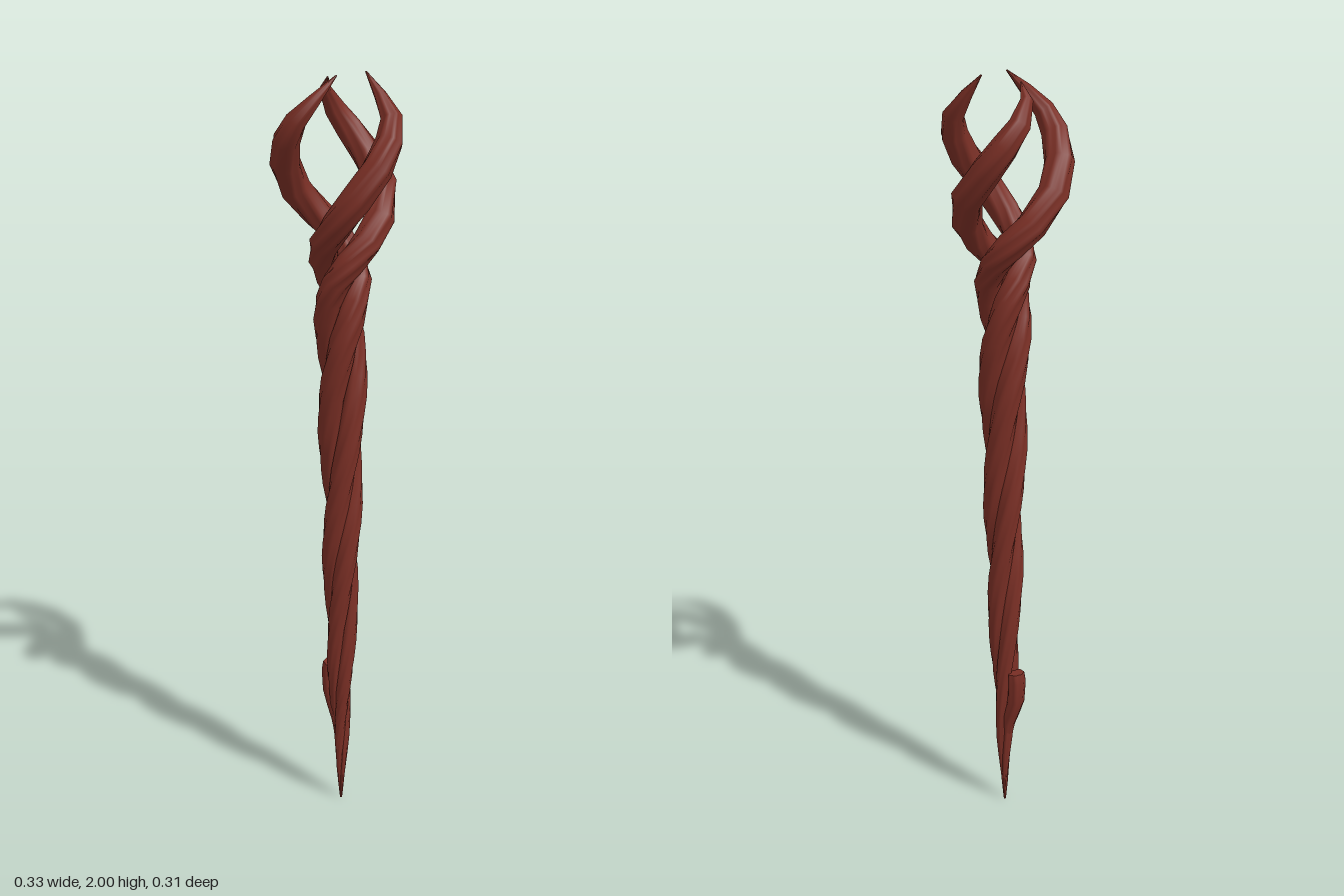
import * as THREE from 'three';

const bark = new THREE.MeshStandardMaterial({ color: 0x7a2f25, side: THREE.DoubleSide });

// Strand profile going up: [height, twist in degrees, distance from axis, strand radius]
const PROFILE = [
  [0, -610, 0.001, 0.002],
  [0.2, -550, 0.010, 0.013],
  [0.4, -488, 0.017, 0.020],
  [0.7, -390, 0.023, 0.027],
  [1.03, -272, 0.027, 0.031],
  [1.23, -204, 0.031, 0.034],
  [1.36, -150, 0.034, 0.035],
  [1.45, -103, 0.036, 0.035],
  [1.5, -68, 0.039, 0.035],
  [1.55, -20, 0.046, 0.035],
  [1.6, 24, 0.066, 0.036],
  [1.65, 56, 0.090, 0.037],
  [1.72, 84, 0.120, 0.038],
  [1.79, 109, 0.132, 0.037],
  [1.85, 128, 0.138, 0.033],
  [1.9, 143, 0.130, 0.026],
  [1.95, 158, 0.098, 0.015]
];

function sampleProfile(y) {
  let i = 1;
  while (i < PROFILE.length - 1 && PROFILE[i][0] < y) i++;
  const a = PROFILE[i - 1], b = PROFILE[i];
  const t = (y - a[0]) / (b[0] - a[0]);
  return a.map((v, k) => v + (b[k] - v) * t);
}

const polar = (y, deg, r) => {
  const a = THREE.MathUtils.degToRad(deg);
  return new THREE.Vector3(Math.sin(a) * r, y, Math.cos(a) * r);
};

// Sweeps a grooved, tapering section along the centres; both ends are capped
function ridgedTube(centres, radii, sides = 28) {
  const pos = [], index = [];
  const n = centres.length;
  const out = new THREE.Vector3();
  for (let i = 0; i < n; i++) {
    const p = centres[i];
    const tangent = centres[Math.min(i + 1, n - 1)].clone()
      .sub(centres[Math.max(i - 1, 0)]).normalize();
    // radial direction squared to the path
    out.set(p.x, 0, p.z).normalize();
    const normal = out.clone().addScaledVector(tangent, -out.dot(tangent)).normalize();
    const side = tangent.clone().cross(normal);
    for (let j = 0; j < sides; j++) {
      const a = (j / sides) * Math.PI * 2;
      const r = radii[i] * (0.97 + 0.07 * Math.cos(a * 7));
      const v = p.clone().addScaledVector(normal, Math.cos(a) * r)
        .addScaledVector(side, Math.sin(a) * r);
      pos.push(v.x, v.y, v.z);
      if (i < n - 1) {
        const k = (j + 1) % sides, b = i * sides;
        index.push(b + j, b + k, b + sides + j, b + k, b + sides + k, b + sides + j);
      }
    }
  }
  // caps use their own vertices so the rim stays sharp
  for (const [ring, flip] of [[0, true], [n - 1, false]]) {
    const start = pos.length / 3;
    pos.push(...centres[ring].toArray());
    for (let j = 0; j < sides; j++) {
      const s = (ring * sides + j) * 3;
      pos.push(pos[s], pos[s + 1], pos[s + 2]);
    }
    for (let j = 0; j < sides; j++) {
      const a = start + 1 + j, b = start + 1 + ((j + 1) % sides);
      index.push(start, flip ? b : a, flip ? a : b);
    }
  }
  const geo = new THREE.BufferGeometry();
  geo.setAttribute('position', new THREE.Float32BufferAttribute(pos, 3));
  geo.setIndex(index);
  geo.computeVertexNormals();
  return geo;
}

// One strand: wound shaft below, open claw above; spread widens or narrows the claw
function strand(name, offset, spread, tip) {
  const heights = [];
  for (let y = 0; y < 1.44; y += 0.05) heights.push(y);
  PROFILE.forEach(row => { if (row[0] >= 1.45) heights.push(row[0]); });
  const centres = [], radii = [];
  for (const y of heights) {
    const [h, deg, r, thick] = sampleProfile(y);
    const claw = THREE.MathUtils.smoothstep(y, 1.5, 1.75);
    centres.push(polar(h, deg + offset, r * (1 + (spread - 1) * claw)));
    radii.push(thick);
  }
  // the shaft leans very slightly towards its point
  centres.forEach(c => {
    const low = 1 - THREE.MathUtils.smoothstep(c.y, 0, 1.6);
    c.x += 0.004 * low;
    c.z -= 0.008 * low;
  });
  centres.push(tip);
  radii.push(0.002);
  const mesh = new THREE.Mesh(ridgedTube(centres, radii), bark);
  mesh.name = name;
  return mesh;
}

export function createModel() {
  const wand = new THREE.Group();
  wand.name = 'twistedStaff';

  // three intertwined strands ending in claws
  wand.add(
    strand('rearStrand', 2, 1.06, new THREE.Vector3(0.01, 1.985, -0.06)),
    strand('rightStrand', 121, 1.03, new THREE.Vector3(-0.035, 2, 0.02)),
    strand('frontStrand', -109, 0.93, new THREE.Vector3(0.065, 2, 0.015))
  );

  // cut-off stub on the back of the lower shaft
  const stubPath = [
    [0.18, -0.012], [0.25, -0.020], [0.29, -0.033], [0.33, -0.046], [0.39, -0.049], [0.415, -0.046]
  ].map(([y, z]) => new THREE.Vector3(0.004, y, z));
  const stub = new THREE.Mesh(ridgedTube(stubPath, [0.01, 0.018, 0.021, 0.023, 0.024, 0.022]), bark);
  stub.name = 'backStub';
  wand.add(stub);

  return wand;
}
